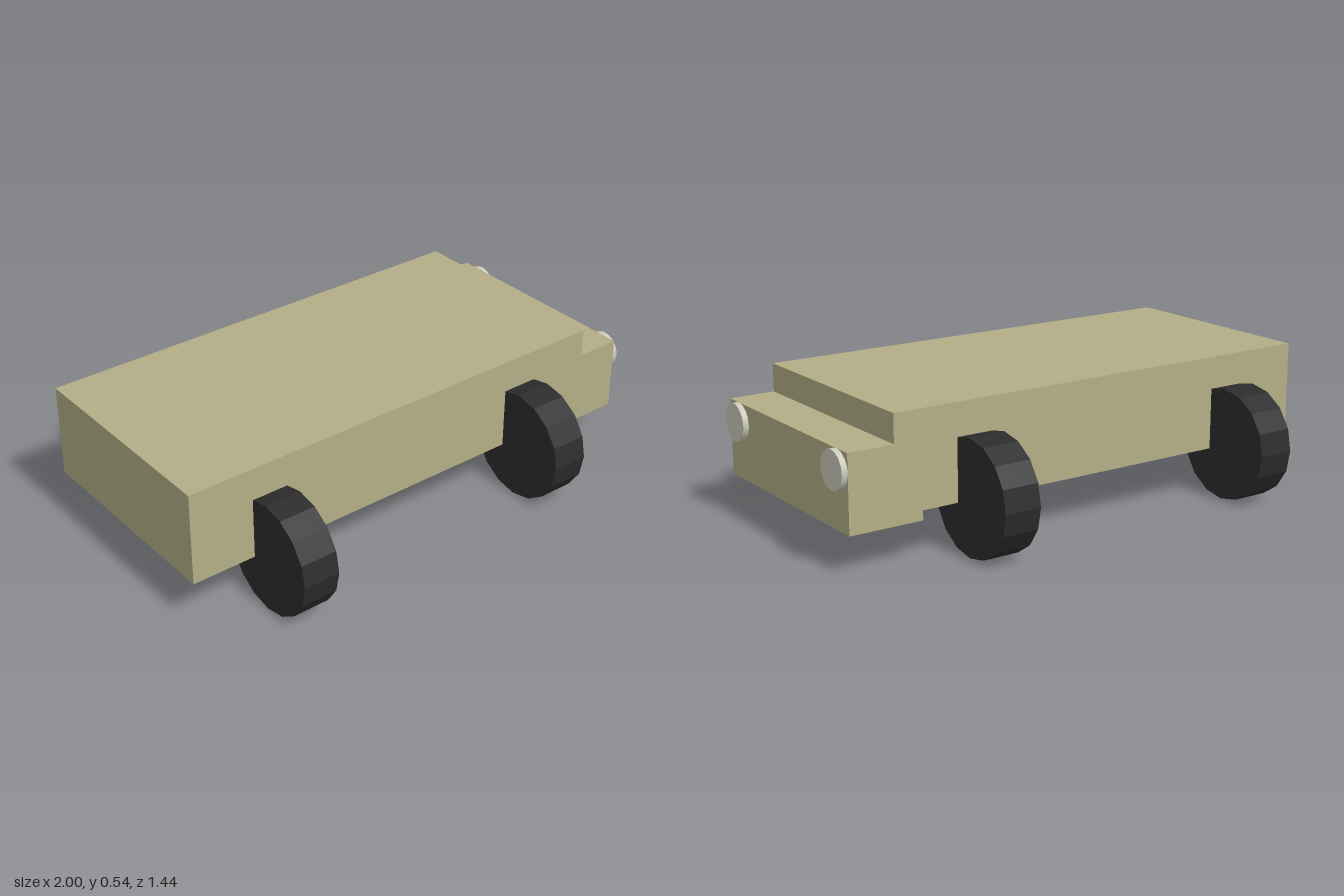
import * as THREE from 'three';

export function createModel() {
  const model = new THREE.Group();
  const paint = (name, color, flatShading = false) =>
    Object.assign(new THREE.MeshStandardMaterial({ color, flatShading }), { name });
  const khaki = paint('khaki body', 0xb3ae86);
  const rubber = paint('dark rubber', 0x2c2c2c, true);
  const glass = paint('pale lamp', 0xc9cabb);

  const add = (name, geometry, material, x, y, z) => {
    const mesh = new THREE.Mesh(geometry, material);
    mesh.name = name;
    mesh.position.set(x, y, z);
    model.add(mesh);
  };

  // Main hull and the lower nose at the +x end
  add('hull', new THREE.BoxGeometry(1.8, 0.36, 0.864), khaki, -0.1, 0.362, 0);
  add('nose', new THREE.BoxGeometry(0.288, 0.288, 0.864), khaki, 0.834, 0.29, 0);

  // Wheels and headlights turn about the x axis
  const wheel = new THREE.CylinderGeometry(0.216, 0.216, 0.144, 16).rotateZ(Math.PI / 2);
  const lamp = new THREE.CylinderGeometry(0.072, 0.072, 0.022, 32).rotateZ(Math.PI / 2);

  for (const [side, s] of [['front', 1], ['back', -1]]) {
    add(`${side}LeftWheel`, wheel, rubber, 0.476, 0.216, s * 0.504);
    add(`${side}RightWheel`, wheel, rubber, -0.676, 0.216, s * 0.504);
    add(`${side}Headlight`, lamp, glass, 0.989, 0.362, s * 0.36);
  }

  return model;
}
